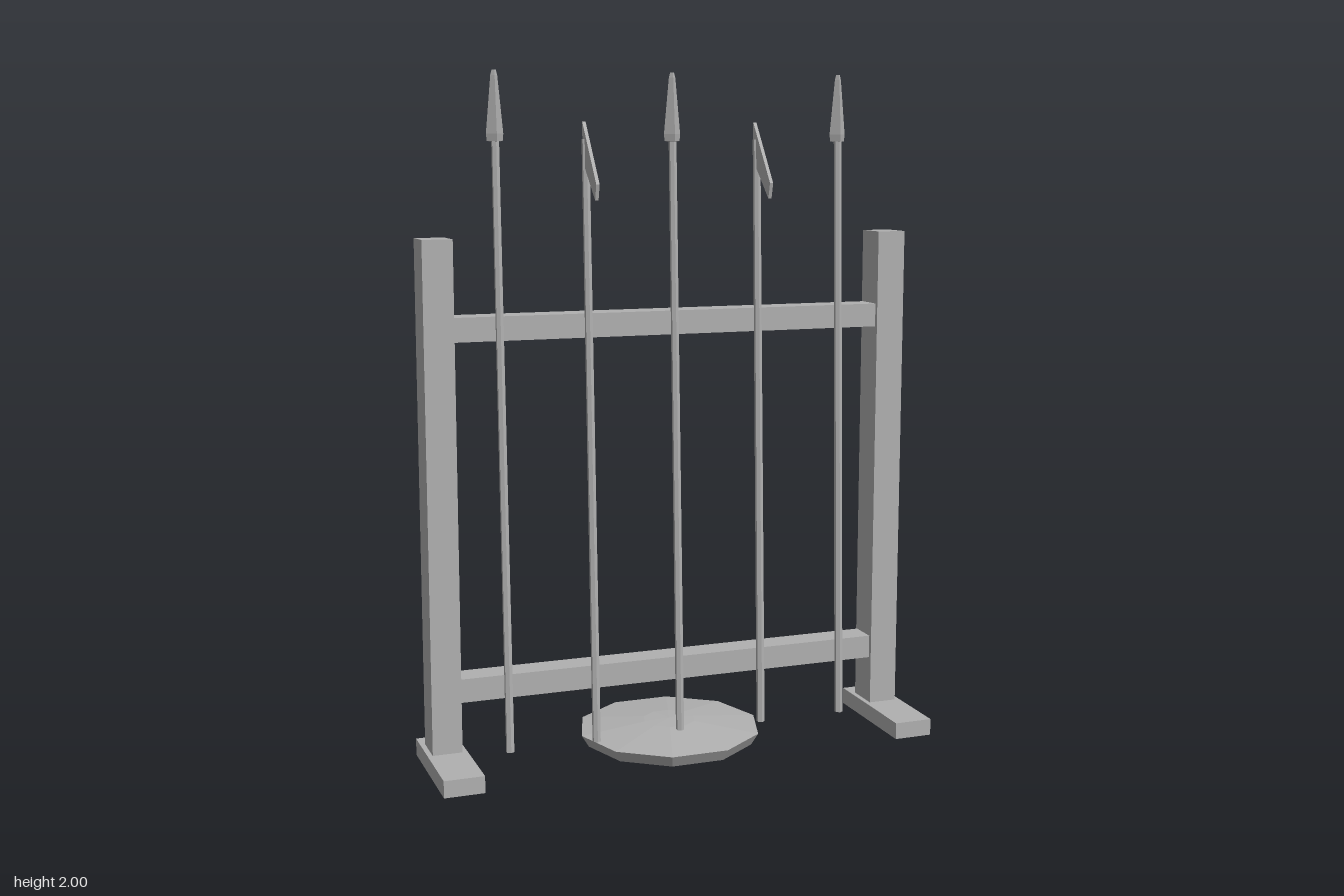
import * as THREE from 'three';

export function createModel() {
  const model = new THREE.Group();
  model.name = 'weaponRack';
  const grey = new THREE.MeshStandardMaterial({ color: 0xb0b0b0 });
  grey.name = 'grey';
  grey.flatShading = true;

  const add = (parent, name, geometry, x = 0, y = 0, z = 0) => {
    const mesh = new THREE.Mesh(geometry, grey);
    mesh.name = name;
    mesh.position.set(x, y, z);
    parent.add(mesh);
    return mesh;
  };
  const box = (parent, name, w, h, d, x, y, z) =>
    add(parent, name, new THREE.BoxGeometry(w, h, d), x, y, z);
  const polygon = (points) => new THREE.Shape(points.map(([x, y]) => new THREE.Vector2(x, y)));
  const rectangle = (w, d) => [[-w, -d], [w, -d], [w, d], [-w, d]];

  // Posts standing on feet that are hollow underneath
  for (const side of [-1, 1]) {
    const stand = new THREE.Group();
    stand.name = side > 0 ? 'leftStand' : 'rightStand';
    stand.position.x = side * 0.702;
    model.add(stand);
    box(stand, 'post', 0.088, 1.515, 0.105, 0, 0.7775, 0);
    const rim = polygon(rectangle(0.059, 0.185));
    rim.holes.push(polygon(rectangle(0.035, 0.161)));
    const rimGeometry = new THREE.ExtrudeGeometry(rim, { depth: 0.037, bevelEnabled: false });
    rimGeometry.rotateX(-Math.PI / 2);
    add(stand, 'footRim', rimGeometry, 0, 0, 0.075);
    box(stand, 'footTop', 0.118, 0.013, 0.37, 0, 0.0435, 0.075);
  }

  // Cross rails
  for (const y of [0.23, 1.28]) box(model, 'rail', 1.32, 0.07, 0.086, 0, y, -0.003);

  // Ten-sided shield lying on the ground
  const profile = [[0, 0], [0.258, 0], [0.28, 0.036], [0.08, 0.058], [0, 0.061]];
  const shield = add(model, 'shield',
    new THREE.LatheGeometry(profile.map(([r, y]) => new THREE.Vector2(r, y)), 10));
  shield.rotation.y = Math.PI / 10;

  // Polearms leaning back on the rails, alternating spears and billhooks
  const bottom = new THREE.Vector3(0, 0.05, 0.096);
  const top = new THREE.Vector3(0, 1.81, 0.029);
  const direction = top.clone().sub(bottom);
  const blade = polygon([[0.015, 1.86], [0.015, 1.72], [0.04, 1.727], [0.132, 1.64], [0.143, 1.685]]);
  for (let i = -2; i <= 2; i++) {
    const arm = new THREE.Group();
    arm.name = i % 2 ? 'billhook' : 'spear';
    arm.position.x = i * 0.2635;
    model.add(arm);
    const shaft = add(arm, 'shaft', new THREE.CylinderGeometry(0.0115, 0.0125, direction.length(), 6));
    shaft.position.copy(bottom).add(top).multiplyScalar(0.5);
    shaft.quaternion.setFromUnitVectors(new THREE.Vector3(0, 1, 0), direction.clone().normalize());
    if (i % 2) {
      const geometry = new THREE.ExtrudeGeometry(blade, { depth: 0.01, bevelEnabled: false });
      geometry.translate(0, 0, -0.005);
      geometry.rotateY(-Math.PI / 2);
      add(arm, 'blade', geometry);
    } else {
      const head = [[0, 1.8], [0.023, 1.805], [0.025, 1.825], [0.01, 1.985], [0.006, 2], [0, 2]];
      add(arm, 'spearhead',
        new THREE.LatheGeometry(head.map(([r, y]) => new THREE.Vector2(r, y)), 4), 0, 0, 0.025);
    }
  }
  return model;
}
